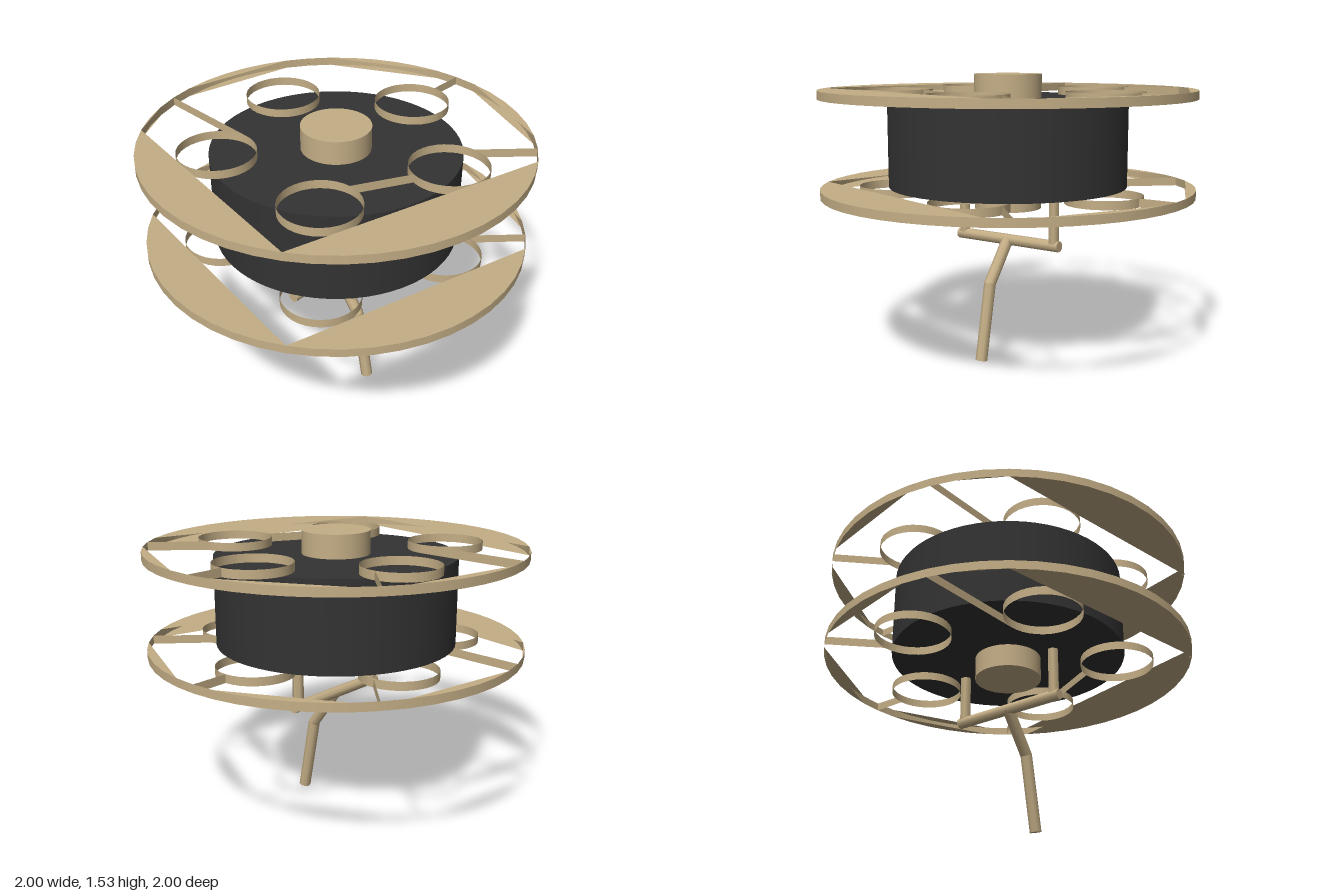
import * as THREE from 'three';

const rad = THREE.MathUtils.degToRad;

export function createModel() {
  const tan = new THREE.MeshStandardMaterial({ color: 0xc4ae86, side: THREE.DoubleSide });
  tan.name = 'tan';
  const black = new THREE.MeshStandardMaterial({ color: 0x333333 });
  black.name = 'charcoal';

  const model = new THREE.Group();
  model.name = 'reel';

  const add = (parent, name, geometry, material, x = 0, y = 0, z = 0) => {
    const mesh = new THREE.Mesh(geometry, material);
    mesh.name = name;
    mesh.position.set(x, y, z);
    parent.add(mesh);
    return mesh;
  };

  // Drum and axle hub
  add(model, 'drum', new THREE.CylinderGeometry(0.64, 0.64, 0.47, 64), black, 0, 1.17, 0);
  add(model, 'hub', new THREE.CylinderGeometry(0.18, 0.18, 0.72, 48), tan, 0, 1.17, 0);

  // Flanges: open rims with ring walls, thin webs and flat segments
  const thick = 0.045;
  const segments = [[7.5, 45], [60, 97.5], [112.5, 127.5], [127.5, 210], [210, 300], [315, 352.5]];
  const webs = [
    [0.8, 0, 1, 0],
    [0.385, 0.571, 0.609, 0.793],
    [-0.285, 0.353, -0.259, 0.966],
    [-0.285, -0.353, -0.003, -0.503],
    [0.385, -0.571, 0.609, -0.793],
  ];

  // Flat piece between an arc of the rim and its chord
  const segmentGeometry = (from, to) => {
    const points = [];
    for (let a = from; a <= to + 0.01; a += 7.5) {
      points.push(new THREE.Vector2(Math.cos(rad(a)), Math.sin(rad(a))));
    }
    return new THREE.ShapeGeometry(new THREE.Shape(points)).rotateX(-Math.PI / 2);
  };

  const flange = (name, y) => {
    const group = new THREE.Group();
    group.name = name;
    group.position.y = y;
    add(group, 'rim', new THREE.CylinderGeometry(1, 1, thick, 48, 1, true), tan);
    for (let i = 0; i < 5; i++) {
      const a = rad(72 * i);
      add(group, 'ringWall', new THREE.CylinderGeometry(0.2, 0.2, thick, 32, 1, true), tan,
        0.6 * Math.cos(a), 0, -0.6 * Math.sin(a));
    }
    for (const [x1, y1, x2, y2] of webs) {
      const length = Math.hypot(x2 - x1, y2 - y1);
      const web = add(group, 'web', new THREE.PlaneGeometry(length, thick), tan,
        (x1 + x2) / 2, 0, -(y1 + y2) / 2);
      web.rotation.y = Math.atan2(y2 - y1, x2 - x1);
    }
    for (const [from, to] of segments) {
      const geometry = segmentGeometry(from, to);
      add(group, 'topSegment', geometry, tan, 0, thick / 2, 0);
      add(group, 'bottomSegment', geometry, tan, 0, -thick / 2, 0);
    }
    model.add(group);
  };
  flange('lowerFlange', 0.9125);
  flange('upperFlange', 1.4275);

  // Straight rod between two points
  const rod = (name, a, b, radius, sides, twist = 0) => {
    const start = new THREE.Vector3(...a);
    const dir = new THREE.Vector3(...b).sub(start);
    const geometry = new THREE.CylinderGeometry(radius, radius, dir.length(), sides).rotateY(twist);
    const mesh = add(model, name, geometry, tan);
    mesh.position.copy(start).addScaledVector(dir, 0.5);
    mesh.quaternion.setFromUnitVectors(new THREE.Vector3(0, 1, 0), dir.normalize());
  };

  // Yoke: two posts and a crossbar
  for (const side of [-1, 1]) {
    rod('yokePost', [0.3 * side, 0.64, 0], [0.3 * side, 0.9, 0], 0.03, 6, Math.PI / 6);
  }
  rod('crossbar', [-0.335, 0.632, 0], [0.335, 0.632, 0], 0.03, 8, Math.PI / 8);

  // Bent handle
  rod('upperHandle', [0, 0.635, 0], [0, 0.412, 0.167], 0.032, 8);
  rod('lowerHandle', [0, 0.42, 0.163], [0, 0.007, 0.242], 0.032, 8);
  add(model, 'handleElbow', new THREE.SphereGeometry(0.031, 12, 8), tan, 0, 0.415, 0.165);

  return model;
}
